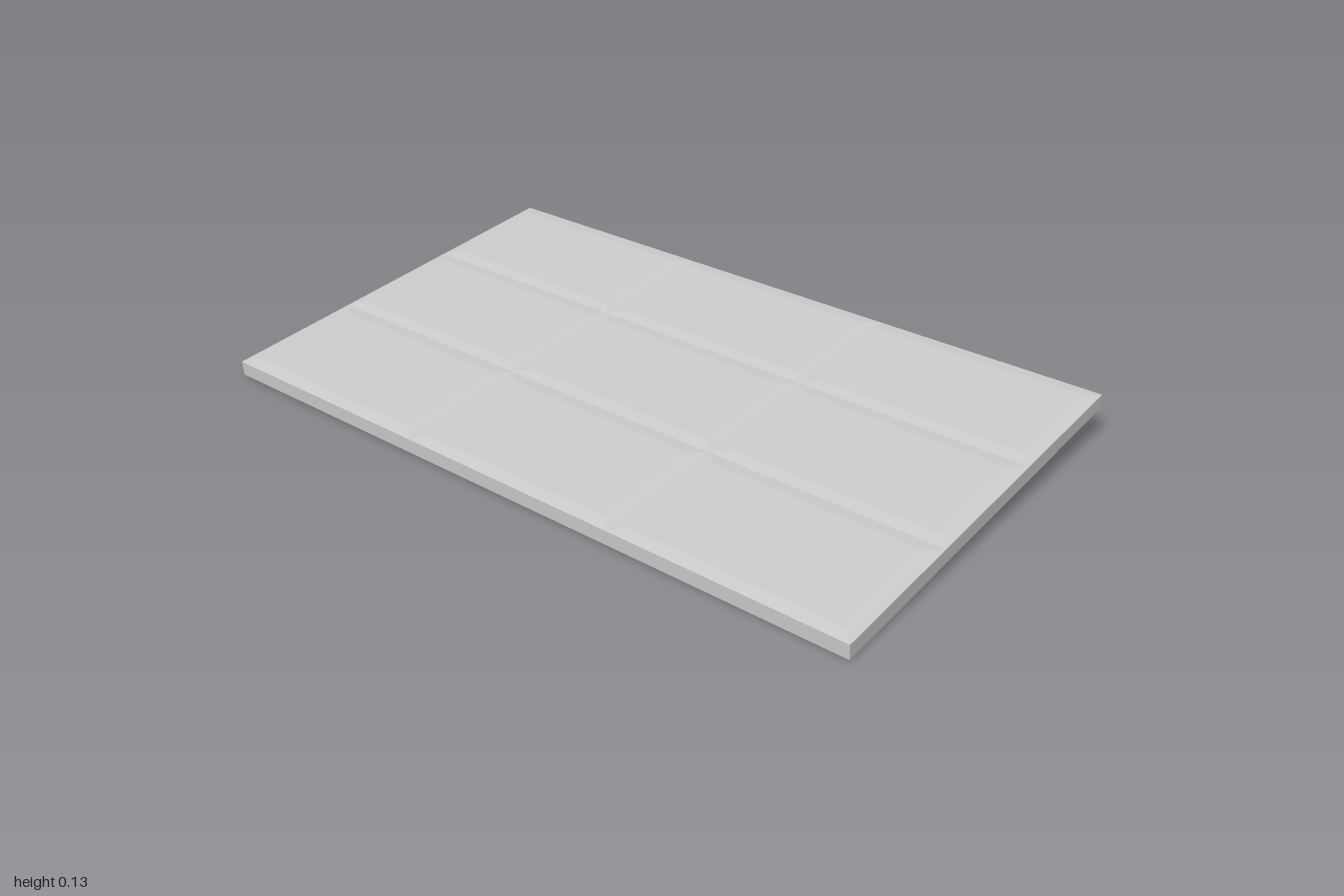
import * as THREE from 'three';

const W = 1.18, D = 2, H = 0.021;     // slab width, depth and half thickness at the seams
const INSET = 0.037, RISE = 0.004;    // bevel around each cushion
const N = 3;                          // cushions per side
const TILT = 0.0733;

// Flat-shaded geometry from quads, corners counter-clockwise from outside
function quadGeometry(quads) {
  const pos = [];
  for (const [a, b, c, d] of quads) pos.push(...a, ...b, ...c, ...a, ...c, ...d);
  const geo = new THREE.BufferGeometry();
  geo.setAttribute('position', new THREE.Float32BufferAttribute(pos, 3));
  geo.computeVertexNormals();
  return geo;
}

// Rectangle of corners in the xz plane, counter-clockwise seen from above
function ring(w, d, y) {
  return [[-w / 2, y, d / 2], [w / 2, y, d / 2], [w / 2, y, -d / 2], [-w / 2, y, -d / 2]];
}

// Quads joining a lower ring to an upper one
function band(low, high) {
  return low.map((p, i) => {
    const k = (i + 1) % 4;
    return [p, low[k], high[k], high[i]];
  });
}

export function createModel() {
  const model = new THREE.Group();
  const panel = new THREE.Group();
  panel.name = 'tiltedPanel';
  const material = new THREE.MeshStandardMaterial({ color: 0xcccccc, flatShading: true });

  // Outer edge of the slab
  const edge = new THREE.Mesh(quadGeometry(band(ring(W, D, -H), ring(W, D, H))), material);
  edge.name = 'panelEdge';
  panel.add(edge);

  // Bevelled cushions, the same on the upper and lower faces
  const cw = W / N, cd = D / N;
  const crown = ring(cw - 2 * INSET, cd - 2 * INSET, H + RISE);
  const cushion = quadGeometry([crown, ...band(ring(cw, cd, H), crown)]);
  for (const side of ['upper', 'lower']) {
    const face = new THREE.Group();
    face.name = side + 'Face';
    if (side === 'lower') face.rotation.z = Math.PI;
    for (let i = 0; i < N; i++) {
      for (let j = 0; j < N; j++) {
        const mesh = new THREE.Mesh(cushion, material);
        mesh.name = side + 'Cushion';
        mesh.position.set((i - (N - 1) / 2) * cw, 0, (j - (N - 1) / 2) * cd);
        face.add(mesh);
      }
    }
    panel.add(face);
  }

  // Tilt the panel up towards +x and stand it on the ground
  panel.rotation.z = TILT;
  panel.position.y = 0.065;
  model.add(panel);
  return model;
}
